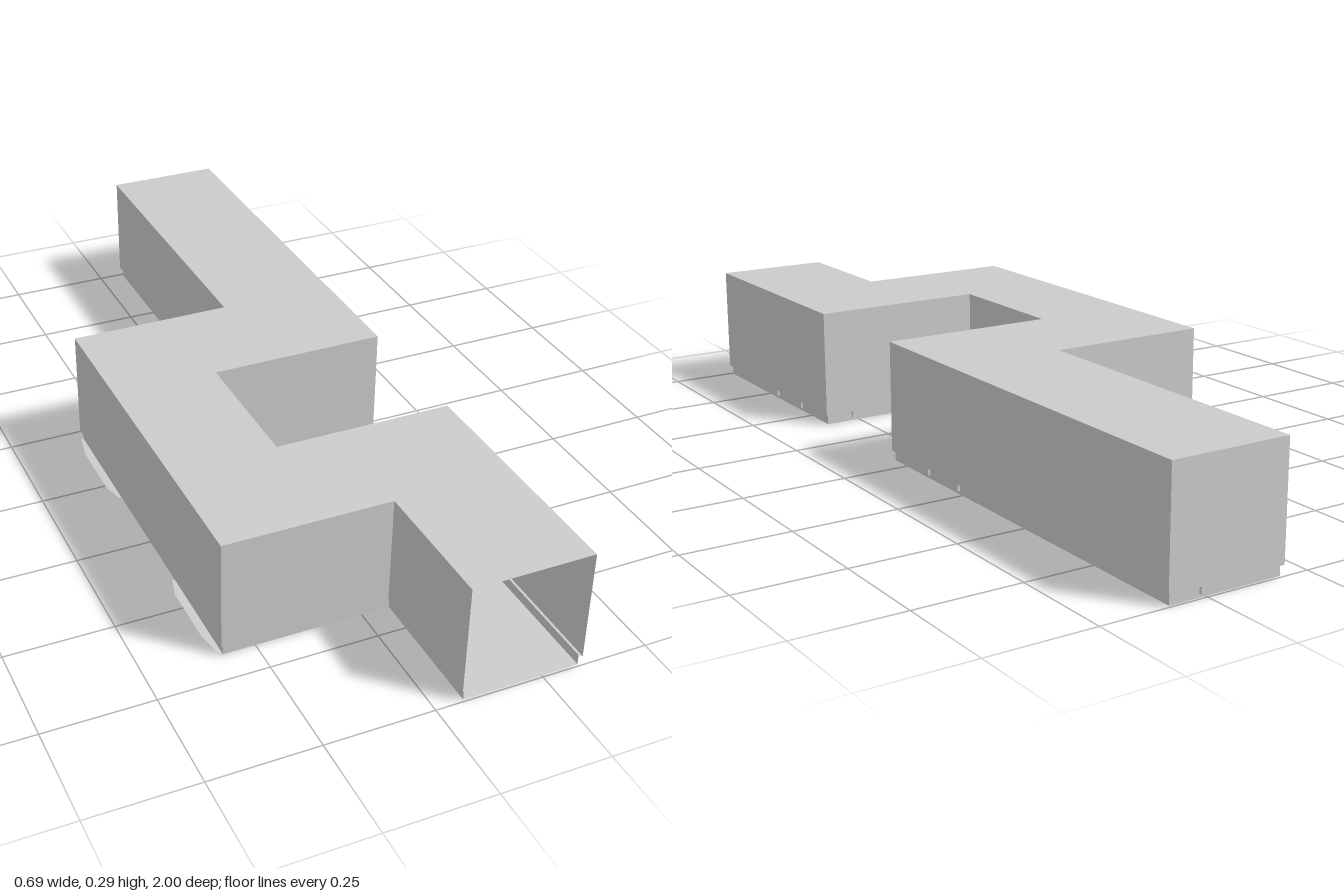
import * as THREE from 'three';

const TOP = 0.287, LEDGE = 0.024, INSET = 0.006;

// Corridor plan as [x, z]; the walls stop at the open front doorway (z = 1)
const plan = [
  [0.343, 1], [0.343, 0.4], [-0.08, 0.4], [-0.08, 0.06], [0.343, 0.06], [0.343, -1],
  [0.06, -1], [0.06, -0.22], [-0.33, -0.22], [-0.33, 0.68], [0.06, 0.68], [0.06, 1],
];

const material = new THREE.MeshStandardMaterial({
  color: 0xcccccc, side: THREE.DoubleSide, flatShading: true,
});

function addMesh(group, name, geometry) {
  const mesh = new THREE.Mesh(geometry, material);
  mesh.name = name;
  group.add(mesh);
  return mesh;
}

// Shrinks a right-angled outline by moving every corner off both of its edges
function shrink(points, d) {
  const n = points.length;
  return points.map(([x, z], i) => {
    const p = points[(i + n - 1) % n], q = points[(i + 1) % n];
    const dir = [[x - p[0], z - p[1]], [q[0] - x, q[1] - z]];
    let ox = 0, oz = 0;
    for (const [dx, dz] of dir) {
      ox += Math.sign(dz) * d;
      oz -= Math.sign(dx) * d;
    }
    return [x + ox, z + oz];
  });
}

// Flat horizontal sheet from a plan outline
function sheet(points, y) {
  const shape = new THREE.Shape(points.map(([x, z]) => new THREE.Vector2(x, -z)));
  return new THREE.ShapeGeometry(shape).rotateX(-Math.PI / 2).translate(0, y, 0);
}

// Band of quads joining a lower path to an upper path
function band(low, yLow, high, yHigh) {
  const pos = [];
  for (let i = 0; i < low.length - 1; i++) {
    const a = [low[i][0], yLow, low[i][1]], b = [low[i + 1][0], yLow, low[i + 1][1]];
    const c = [high[i + 1][0], yHigh, high[i + 1][1]], d = [high[i][0], yHigh, high[i][1]];
    pos.push(...a, ...b, ...c, ...a, ...c, ...d);
  }
  const g = new THREE.BufferGeometry();
  g.setAttribute('position', new THREE.Float32BufferAttribute(pos, 3));
  g.computeVertexNormals();
  return g;
}

export function createModel() {
  const group = new THREE.Group();
  group.name = 'corridor';
  const inner = shrink(plan, INSET);

  // Hollow shell: roof and upright walls
  addMesh(group, 'roof', sheet(plan, TOP));
  addMesh(group, 'walls', band(plan, LEDGE, plan, TOP));

  // Recessed base below the walls
  addMesh(group, 'wallLedge', band(inner, LEDGE, plan, LEDGE));
  addMesh(group, 'baseRim', band(inner, 0, inner, LEDGE));
  addMesh(group, 'floor', sheet(inner, 0));

  // Thin floor flap in the recess
  addMesh(group, 'recessFlap', sheet([[-0.09, 0.06], [0.004, 0.06], [0.004, 0.4], [-0.09, 0.4]], 0));

  // Bevelled floor flaps along the outer side
  for (const [z0, z1, b0, b1] of [[-0.216, 0.06, 0.07, 0.05], [0.4, 0.676, 0.05, 0.07]]) {
    addMesh(group, 'sideFlap', sheet([
      [-0.32, z0], [-0.33, z0], [-0.343, z0 + b0], [-0.343, z1 - b1], [-0.33, z1], [-0.32, z1],
    ], 0));
  }

  // Tabs that bridge the base recess flush with the walls: [x, z, width, depth]
  const t = INSET;
  const tabs = [
    [0.2, -1 + t / 2, 0.13, t], [-0.135, -0.22 + t / 2, 0.2, t],
    [0.2, 0.4 + t / 2, 0.14, t], [0.2, 0.06 - t / 2, 0.14, t],
    ...[-0.23, -0.1, 0.56, 0.7].map((z) => [0.343 - t / 2, z, t, 0.02]),
  ];
  for (const [x, z, w, d] of tabs) {
    addMesh(group, 'baseTab', new THREE.BoxGeometry(w, LEDGE - 0.008, d))
      .position.set(x, LEDGE / 2 + 0.004, z);
  }
  return group;
}
